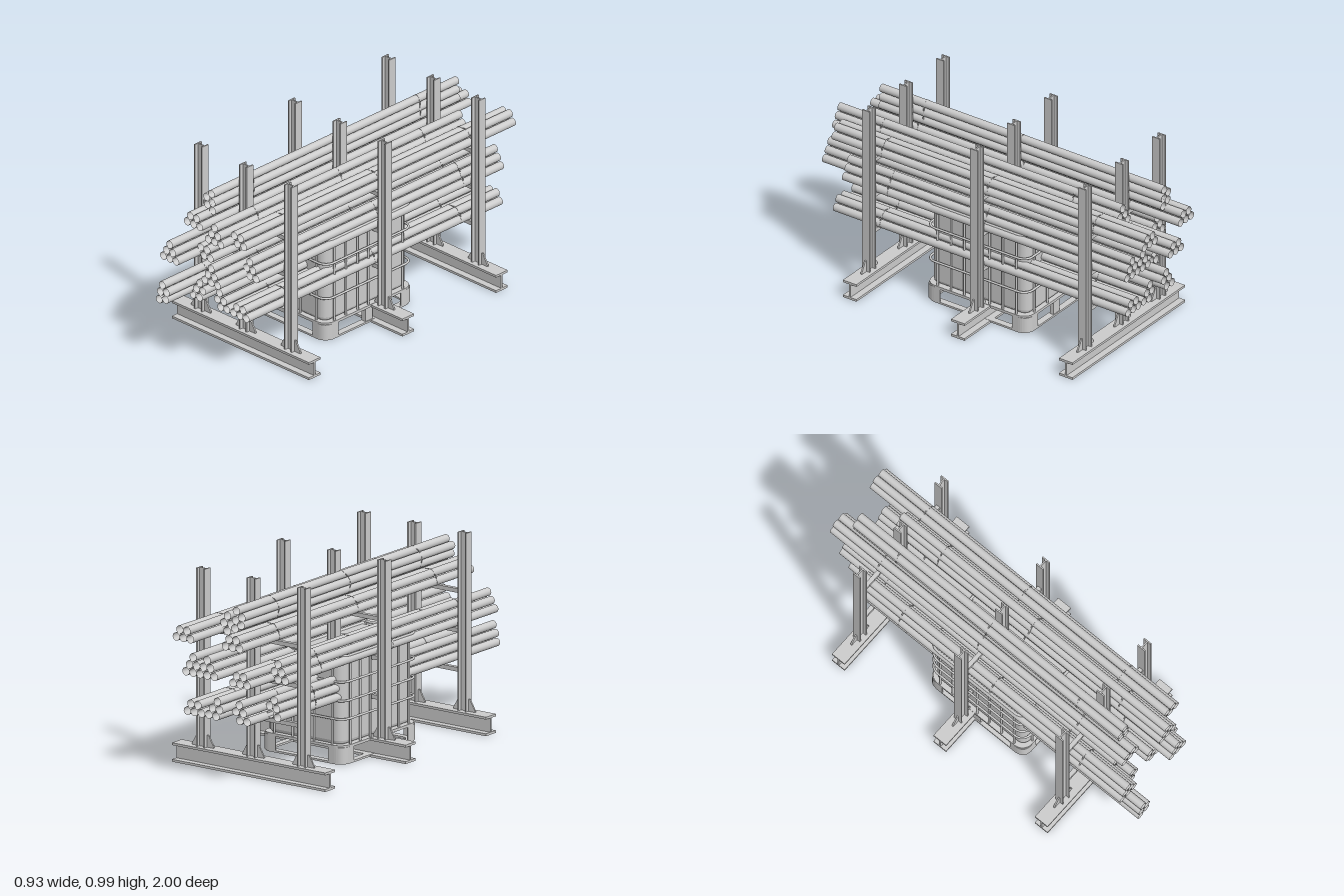
import * as THREE from 'three';

const grey = new THREE.MeshStandardMaterial({ color: 0xcccccc });
const greyThin = new THREE.MeshStandardMaterial({ color: 0xcccccc, side: THREE.DoubleSide });
const R = 0.0205; // pipe radius

function add(parent, name, geometry, x = 0, y = 0, z = 0, material = grey) {
  const mesh = new THREE.Mesh(geometry, material);
  mesh.name = name;
  mesh.position.set(x, y, z);
  parent.add(mesh);
  return mesh;
}
const box = (parent, name, w, h, d, x, y, z) => add(parent, name, new THREE.BoxGeometry(w, h, d), x, y, z);

function group(parent, name) {
  const g = new THREE.Group();
  g.name = name;
  parent.add(g);
  return g;
}

// Rounded rectangle with half sizes a, b and corner radius r
function roundedRect(a, b, r) {
  const s = new THREE.Shape();
  s.absarc(a - r, b - r, r, 0, Math.PI / 2);
  s.absarc(-a + r, b - r, r, Math.PI / 2, Math.PI);
  s.absarc(-a + r, -b + r, r, Math.PI, Math.PI * 1.5);
  s.absarc(a - r, -b + r, r, Math.PI * 1.5, Math.PI * 2);
  s.closePath();
  return s;
}

// Extrude a plan shape upwards
function extrudeUp(shape, depth, bevel = 0) {
  return new THREE.ExtrudeGeometry(shape, {
    depth, curveSegments: 8, bevelEnabled: bevel > 0, bevelSize: bevel, bevelThickness: bevel, bevelSegments: 3, bevelOffset: -bevel
  }).rotateX(-Math.PI / 2);
}

// I profile: w across the flanges, h over the flanges, t flange, web thickness
function iShape(w, h, t, web) {
  const a = w / 2, b = h / 2, c = web / 2;
  return new THREE.Shape([[-a, -b], [a, -b], [a, -b + t], [c, -b + t], [c, b - t], [a, b - t], [a, b],
    [-a, b], [-a, b - t], [-c, b - t], [-c, -b + t], [-a, -b + t]].map(p => new THREE.Vector2(...p)));
}

// One rack frame: ground beam, three posts with gussets, three shelf bars
function rackFrame(parent, z) {
  const g = group(parent, 'rackFrame');
  g.position.z = z;
  const beam = new THREE.ExtrudeGeometry(iShape(0.08, 0.095, 0.012, 0.009), { depth: 0.93, bevelEnabled: false });
  add(g, 'groundBeam', beam.translate(0, 0, -0.465).rotateY(Math.PI / 2), 0, 0.0475, 0);
  const post = extrudeUp(iShape(0.045, 0.052, 0.007, 0.007), 0.895).rotateY(Math.PI / 2);
  const gusset = new THREE.Shape([[0, 0], [0.04, 0], [0.04, 0.008], [0.01, 0.06], [0, 0.06]].map(p => new THREE.Vector2(...p)));
  for (const x of [-0.305, 0, 0.305]) {
    add(g, 'post', post, x, 0.095, 0);
    for (const s of [0, Math.PI]) {
      const geo = new THREE.ExtrudeGeometry(gusset, { depth: 0.008, bevelEnabled: false }).translate(0.025, 0, -0.004).rotateY(s);
      add(g, 'gusset', geo, x, 0.095, 0);
    }
  }
  for (const y of [0.296, 0.493, 0.691]) box(g, 'shelfBar', 0.56, 0.021, 0.022, 0, y, 0);
}

// Outline around a set of pipes, at distance r from their centres
function hull(centres, r, Type) {
  const pts = [];
  for (let i = 0; i < 72; i++) {
    const d = new THREE.Vector2(Math.cos(i * Math.PI / 36), Math.sin(i * Math.PI / 36));
    let best = null;
    for (const c of centres) {
      const v = new THREE.Vector2(...c);
      if (!best || v.dot(d) > best.dot(d)) best = v;
    }
    pts.push(best.clone().addScaledVector(d, r));
  }
  return new Type(pts);
}

// Hollow pipes along z, tied with three thin straps
function bundle(parent, centres, z0, z1) {
  const g = group(parent, 'pipeBundle');
  const len = z1 - z0;
  const pipe = new THREE.CylinderGeometry(R, R, len, 20, 1, true).rotateX(Math.PI / 2);
  for (const [x, y] of centres) add(g, 'pipe', pipe, x, y, (z0 + z1) / 2, greyThin);
  const band = hull(centres, R + 0.001, THREE.Shape);
  band.holes.push(hull(centres, R, THREE.Path));
  const strap = new THREE.ExtrudeGeometry(band, { depth: 0.006, bevelEnabled: false });
  for (const f of [0.16, 0.5, 0.84]) add(g, 'strap', strap, 0, 0, z0 + len * f);
}

// Stack of rows, largest at the bottom
function stack(x, y, ...rows) {
  const out = [];
  rows.forEach((n, r) => {
    for (let i = 0; i < n; i++) out.push([x + (i - (n - 1) / 2) * 0.043, y + r * 0.0385]);
  });
  return out;
}

// Liquid container: rounded bottle, tube cage and pallet
function container(parent) {
  const g = group(parent, 'container');
  add(g, 'bottle', extrudeUp(roundedRect(0.228, 0.288, 0.045), 0.405, 0.02), 0, 0.115, 0);
  add(g, 'lid', new THREE.CylinderGeometry(0.04, 0.04, 0.012, 24), 0, 0.545, 0);

  const cage = group(g, 'cage');
  for (const [y, r] of [[0.228, 0.006], [0.32, 0.006], [0.415, 0.006], [0.545, 0.007]]) {
    const pts = roundedRect(0.247, 0.299, 0.05).getSpacedPoints(96).slice(0, -1).map(p => new THREE.Vector3(p.x, 0, p.y));
    const path = new THREE.CatmullRomCurve3(pts, true);
    add(cage, 'cageRing', new THREE.TubeGeometry(path, 120, r, 8, true), 0, y, 0);
  }
  const upright = new THREE.CylinderGeometry(0.006, 0.006, 0.45, 8);
  for (const s of [-1, 1]) {
    for (const x of [-0.175, -0.065, 0.065, 0.175]) add(cage, 'cageUpright', upright, x, 0.32, s * 0.293);
    for (const z of [-0.235, -0.155, -0.075, 0, 0.075, 0.155, 0.235]) add(cage, 'cageUpright', upright, s * 0.241, 0.32, z);
  }

  const pallet = group(g, 'pallet');
  add(pallet, 'palletDeck', extrudeUp(roundedRect(0.25, 0.305, 0.06), 0.014), 0, 0.083, 0);
  const rail = roundedRect(0.25, 0.305, 0.06);
  rail.holes.push(roundedRect(0.215, 0.27, 0.04));
  add(pallet, 'palletRail', extrudeUp(rail, 0.01), 0, 0.003, 0);
  // Bent sheet corner feet
  const a = 0.09, c = 0.055, t = 0.006;
  const foot = new THREE.Shape();
  foot.moveTo(-a, 0).lineTo(-c, 0).quadraticCurveTo(0, 0, 0, -c).lineTo(0, -a).lineTo(-t, -a)
    .lineTo(-t, -c).quadraticCurveTo(-t, -t, -c, -t).lineTo(-a, -t).closePath();
  const footGeo = extrudeUp(foot, 0.08);
  [[1, -1], [-1, -1], [-1, 1], [1, 1]].forEach(([sx, sz], i) => {
    add(pallet, 'cornerFoot', footGeo, sx * 0.25, 0.008, sz * 0.305).rotation.y = i * Math.PI / 2;
  });
  for (const s of [-1, 1]) {
    box(pallet, 'middleFoot', 0.025, 0.075, 0.05, s * 0.232, 0.048, 0);
    box(pallet, 'middleFoot', 0.05, 0.075, 0.02, 0, 0.048, s * 0.29);
  }
  // Outlet funnel, valve and sloping tray at the front
  const funnel = new THREE.CylinderGeometry(0.085, 0.025, 0.06, 4).rotateY(Math.PI / 4).scale(1, 1, 0.45);
  add(g, 'outletFunnel', funnel, 0, 0.15, 0.272);
  add(g, 'valve', new THREE.CylinderGeometry(0.02, 0.02, 0.03, 16).rotateX(Math.PI / 2), 0, 0.13, 0.29);
  const tray = new THREE.Shape([[0.15, 0.083], [0.22, 0.083], [0.22, 0.025]].map(p => new THREE.Vector2(...p)));
  add(g, 'drainTray', new THREE.ExtrudeGeometry(tray, { depth: 0.14, bevelEnabled: false }).translate(0, 0, -0.07).rotateY(-Math.PI / 2));
}

export function createModel() {
  const model = new THREE.Group();
  model.name = 'pipeRack';
  for (const z of [-0.692, -0.047, 0.598]) rackFrame(model, z);
  container(model);

  // Top shelf
  bundle(model, stack(-0.104, 0.722, 3, 2), -1, 0.857);
  bundle(model, [[-0.055, 0.877], [-0.089, 0.849], [-0.051, 0.83], [-0.084, 0.809], [-0.047, 0.788]], -0.905, 0.782);
  bundle(model, stack(0.101, 0.722, 3, 2, 1), -0.77, 0.92);
  bundle(model, stack(0.194, 0.722, 3, 2), -1, 0.857);
  // Middle shelf
  bundle(model, stack(-0.199, 0.525, 3, 2, 1), -0.76, 0.925);
  bundle(model, stack(-0.104, 0.525, 3, 2), -0.94, 0.785);
  bundle(model, stack(0.122, 0.525, 3, 2, 1), -0.905, 0.965);
  bundle(model, stack(0.207, 0.525, 3, 2, 1), -0.905, 0.785);
  // Bottom shelf
  bundle(model, [[-0.175, 0.418], [-0.147, 0.387], [-0.189, 0.377], [-0.196, 0.333], [-0.153, 0.346]], -0.76, 1);
  bundle(model, [[-0.073, 0.408], [-0.097, 0.37], [-0.052, 0.372], [-0.12, 0.33], [-0.076, 0.33]], -0.905, 0.845);
  bundle(model, [[0.06, 0.403], [0.046, 0.364], [0.089, 0.367], [0.068, 0.328], [0.111, 0.331]], -0.905, 0.845);
  bundle(model, stack(0.199, 0.329, 3, 2), -0.905, 0.845);
  return model;
}
